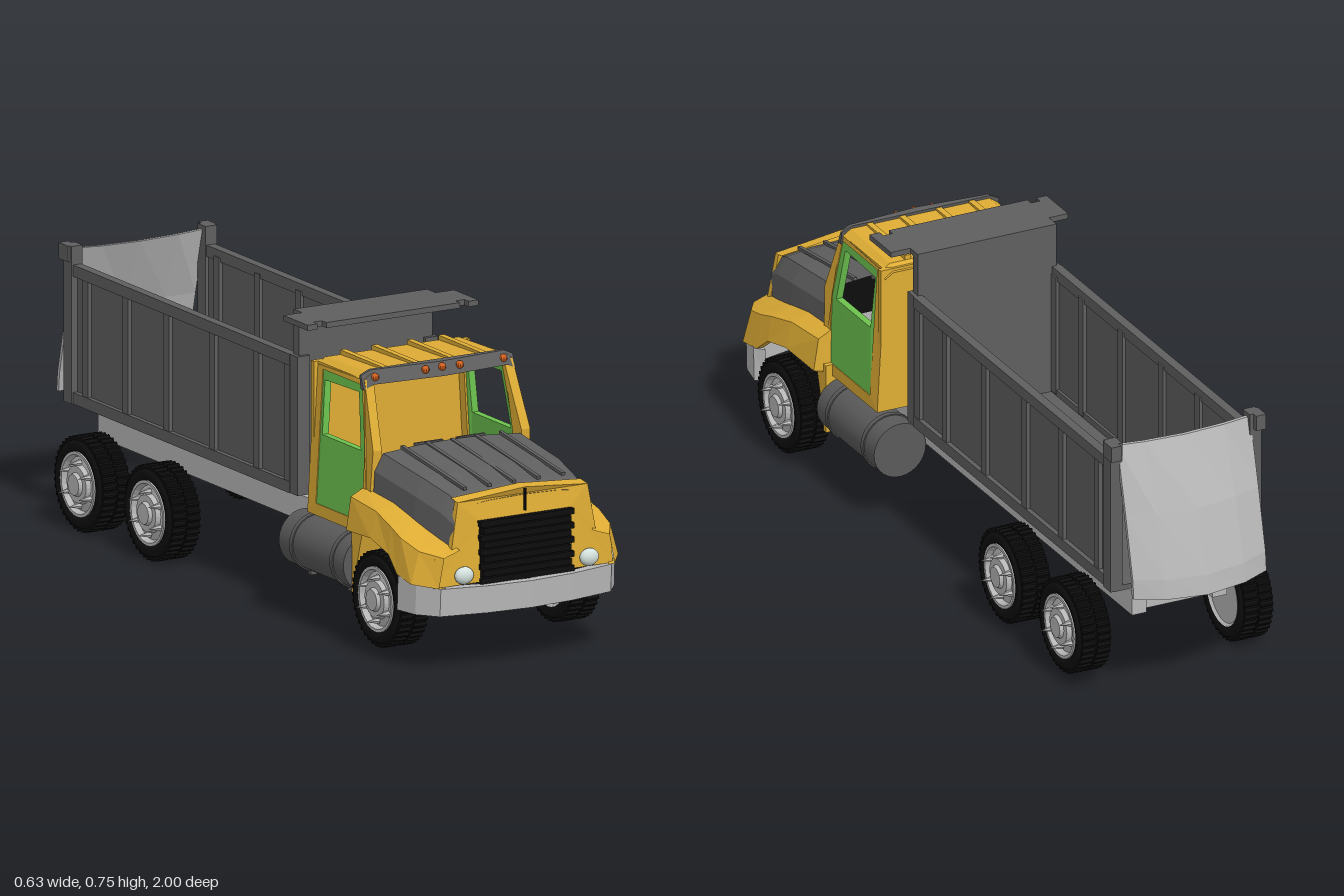
import * as THREE from 'three';

const mat = (color, flatShading = true) =>
  new THREE.MeshStandardMaterial({ color, flatShading, side: THREE.DoubleSide });
const YELLOW = mat(0xdfad35), GREY = mat(0x5f5f5f), LIGHT = mat(0xb8b8b8), BLACK = mat(0x0d0d0d);
const GREEN = mat(0x6cc24f), ORANGE = mat(0xd2601e), LAMP = mat(0xd4e2de, false);
const TANK = mat(0x5a5a5a, false);

function add(parent, name, geometry, material, x = 0, y = 0, z = 0) {
  const mesh = new THREE.Mesh(geometry, material);
  mesh.name = name;
  mesh.position.set(x, y, z);
  parent.add(mesh);
  return mesh;
}

// Box given by its extents
function box(parent, name, material, x0, x1, y0, y1, z0, z1) {
  return add(parent, name, new THREE.BoxGeometry(x1 - x0, y1 - y0, z1 - z0), material,
    (x0 + x1) / 2, (y0 + y1) / 2, (z0 + z1) / 2);
}

// Skin through cross-sections that all have the same number of points
function loft(sections, closed = false) {
  const n = sections[0].length, index = [];
  for (let i = 0; i < sections.length - 1; i++)
    for (let j = 0; j < (closed ? n : n - 1); j++) {
      const a = i * n + j, b = i * n + (j + 1) % n;
      index.push(a, b, a + n, b, b + n, a + n);
    }
  if (closed)
    for (const base of [0, (sections.length - 1) * n])
      for (let j = 0; j < n / 2 - 1; j++) {
        const a = base + j, b = base + n - 1 - j;
        index.push(a, a + 1, b, a + 1, b - 1, b);
      }
  const g = new THREE.BufferGeometry();
  g.setAttribute('position', new THREE.Float32BufferAttribute(sections.flat(2), 3));
  g.setIndex(index);
  g.computeVertexNormals();
  return g;
}

function shapeOf(points, hole) {
  const shape = new THREE.Shape(points.map(p => new THREE.Vector2(...p)));
  if (hole) shape.holes.push(new THREE.Path(hole.map(p => new THREE.Vector2(...p))));
  return shape;
}

// Move every vertex by a rule
function warp(g, rule) {
  const p = g.attributes.position;
  for (let i = 0; i < p.count; i++) p.setXYZ(i, ...rule(p.getX(i), p.getY(i), p.getZ(i)));
  g.computeVertexNormals();
  return g;
}

// Half width of the cab, leaning inwards above the doors
const cabHalf = y => 0.232 - Math.max(0, y - 0.38) * 0.08;

// Panel outlined in (z, y) and laid on the leaning cab side
function sidePanel(points, hole, thick, out, s) {
  const g = new THREE.ExtrudeGeometry(shapeOf(points, hole), { depth: thick, bevelEnabled: false });
  return warp(g, (x, y, z) => [s * (cabHalf(y) + out - z), y, x]);
}

function toothedRing(r, inner, teeth, width) {
  const pts = [];
  for (let i = 0; i < teeth * 4; i++) {
    const a = i / (teeth * 4) * Math.PI * 2, q = i % 4 < 2 ? r : r - 0.006;
    pts.push(new THREE.Vector2(Math.cos(a) * q, Math.sin(a) * q));
  }
  const shape = new THREE.Shape(pts);
  shape.holes.push(new THREE.Path().absarc(0, 0, inner, 0, Math.PI * 2, true));
  return new THREE.ExtrudeGeometry(shape, { depth: width, bevelEnabled: false, curveSegments: 24 })
    .rotateY(Math.PI / 2);
}

const lathe = (pts, n) => new THREE.LatheGeometry(pts.map(p => new THREE.Vector2(...p)), n)
  .rotateZ(-Math.PI / 2);

// Wheel with its outer face on local +x
function makeWheel() {
  const w = new THREE.Group();
  add(w, 'tyre', lathe([[0.08, -0.04], [0.095, -0.045], [0.108, -0.042], [0.113, -0.03], [0.113, 0.03],
    [0.108, 0.042], [0.095, 0.045], [0.08, 0.04], [0.08, -0.04]], 40), mat(0x0d0d0d, false));
  [-0.038, 0.003].forEach((x, i) => {
    const tread = add(w, 'tread', toothedRing(0.12, 0.105, 40, 0.035), BLACK, x);
    tread.rotation.x = i * Math.PI / 40;
  });
  add(w, 'rim', lathe([[0, -0.036], [0.075, -0.036], [0.082, -0.042], [0.082, 0.044], [0.074, 0.044],
    [0.068, 0.03], [0.05, 0.034], [0.046, 0.046], [0.03, 0.046], [0.026, 0.055], [0, 0.055]], 28), LIGHT);
  for (let i = 0; i < 6; i++) {
    const a = i / 6 * Math.PI * 2;
    add(w, 'wheelNut', new THREE.ConeGeometry(0.009, 0.035, 6).rotateZ(-Math.PI / 2), LIGHT,
      0.052, Math.cos(a) * 0.054, Math.sin(a) * 0.054);
  }
  return w;
}

function buildCab(cab) {
  const door = [[0.355, 0.3], [0.355, 0.635], [0.54, 0.635], [0.572, 0.48], [0.572, 0.3]];
  const glass = [[0.37, 0.475], [0.365, 0.61], [0.525, 0.615], [0.552, 0.475]];
  for (const s of [-1, 1]) {
    add(cab, 'cabSide', sidePanel([[0.315, 0.27], [0.315, 0.65], [0.55, 0.65], [0.612, 0.485],
      [0.6, 0.285], [0.57, 0.27]], door, 0.025, 0, s), YELLOW);
    add(cab, 'door', sidePanel(door, glass, 0.018, -0.002, s), GREEN);
    // Fender, skinned from front to back
    add(cab, 'fender', loft([
      [0.968, 0.19, 0.31, 0.235, 0.295, 0.25, 0.22], [0.91, 0.2, 0.325, 0.272, 0.305, 0.295, 0.225],
      [0.84, 0.203, 0.345, 0.282, 0.325, 0.293, 0.235], [0.79, 0.208, 0.36, 0.278, 0.34, 0.288, 0.275],
      [0.7, 0.215, 0.378, 0.268, 0.36, 0.285, 0.295], [0.57, 0.222, 0.388, 0.262, 0.368, 0.275, 0.285],
      [0.565, 0.2, 0.28, 0.24, 0.28, 0.26, 0.28]
    ].map(([z, ...p]) => [[s * p[0], p[1], z], [s * p[2], p[3], z], [s * p[4], p[5], z],
      [s * (p[4] - 0.02), p[5], z]])), YELLOW);
    add(cab, 'fenderFlange', loft([[0.3, 0.61], [0.2, 0.58], [0.12, 0.565]].map(([y, z]) =>
      [[s * 0.19, y, 0.553], [s * 0.25, y, 0.553], [s * 0.25, y, z], [s * 0.19, y, z]]), true), YELLOW);
    add(cab, 'headlight', new THREE.SphereGeometry(0.026, 16, 10).scale(1, 0.85, 0.6), LAMP,
      s * 0.178, 0.245, 0.967);
    box(cab, 'wiper', GREY, s * 0.06 - 0.04, s * 0.06 + 0.04, 0.482, 0.488, 0.598, 0.606);
  }
  box(cab, 'cabBack', YELLOW, -0.222, 0.222, 0.27, 0.65, 0.315, 0.33);

  // Roof with lengthwise ribs, visor and marker lamps
  add(cab, 'roof', loft([[0.312, 0.64], [0.33, 0.658], [0.55, 0.665]].map(([z, y]) =>
    [[-0.212, y - 0.015, z], [-0.19, y, z], [0.19, y, z], [0.212, y - 0.015, z]])), YELLOW);
  for (const x of [-0.14, -0.05, 0.05, 0.14])
    box(cab, 'roofRib', YELLOW, x - 0.008, x + 0.008, 0.655, 0.67, 0.33, 0.545);
  add(cab, 'visor', loft([-0.216, -0.19, 0, 0.19, 0.216].map(x => {
    const e = Math.abs(x) > 0.2 ? 0.012 : 0, z = 0.575 - x * x * 0.4;
    return [[x, 0.638 - e, z], [x, 0.672 - e, z - 0.015], [x, 0.672 - e, 0.535], [x, 0.638 - e, 0.54]];
  }), true), GREY);
  for (const x of [-0.183, -0.047, 0, 0.051, 0.182])
    add(cab, 'markerLamp', new THREE.SphereGeometry(0.01, 10, 8), ORANGE, x,
      0.66 - Math.abs(x) * 0.03, 0.567 - x * x * 0.4);

  // Hood: faceted shell with a ribbed top
  add(cab, 'hood', loft([[0.612, 0.215, 0.485, 0.37], [0.8, 0.212, 0.462, 0.335], [0.9, 0.2, 0.441, 0.31],
    [0.95, 0.192, 0.42, 0.29]].map(([z, w, y, low]) => {
    const half = [[w + 0.008, low], [w + 0.004, y - 0.05], [w - 0.02, y - 0.008], [0.1, y], [0.02, y + 0.002]];
    return [...half.map(([x, h]) => [-x, h, z]), ...half.reverse().map(([x, h]) => [x, h, z])];
  })), GREY);
  for (const x of [-0.14, -0.07, 0, 0.07, 0.14]) {
    const rib = box(cab, 'hoodRib', GREY, x - 0.005, x + 0.005, -0.004, 0.004, -0.15, 0.15);
    rib.position.set(x, 0.466, 0.76);
    rib.rotation.x = 0.135;
  }

  // Front surround bent backwards towards its sides, with an opening for the grille
  const half = [[0, 0.443], [0.185, 0.425], [0.205, 0.31], [0.25, 0.29], [0.255, 0.218]];
  const outline = [...half, ...half.slice(1).reverse().map(([x, y]) => [-x, y])];
  const hole = [[-0.13, 0.222], [-0.13, 0.375], [0.13, 0.375], [0.13, 0.222]];
  const bend = (x, y, z) => [x, y, z + 0.955 - x * x * 0.3 - (y - 0.22) * 0.06];
  add(cab, 'frontSurround', warp(new THREE.ExtrudeGeometry(shapeOf(outline, hole),
    { depth: 0.016, bevelEnabled: false }), bend), YELLOW);
  add(cab, 'surroundTop', loft([[0.958, 0.443, 0.425], [0.925, 0.446, 0.43]].map(([z, c, e]) =>
    [[-0.185, e, z - 0.01], [0, c, z], [0.185, e, z - 0.01]])), YELLOW);
  box(cab, 'surroundSeam', BLACK, -0.002, 0.002, 0.385, 0.44, 0.955, 0.964);
  box(cab, 'grilleBack', BLACK, -0.133, 0.133, 0.217, 0.378, 0.935, 0.955);
  for (let i = 0; i < 9; i++) {
    const w = i % 2 ? 0.125 : 0.133, y = 0.217 + i * 0.0179;
    box(cab, 'grilleSlat', BLACK, -w, w, y, y + 0.0145, 0.95, 0.972);
  }

  // Bumper swept around the nose
  add(cab, 'bumper', loft([[-0.296, 0.85, 0.234], [-0.283, 0.915, 0.234], [-0.243, 0.965, 0.218],
    [-0.12, 0.99, 0.217], [0, 1, 0.217], [0.12, 0.99, 0.217], [0.243, 0.965, 0.218], [0.283, 0.915, 0.234],
    [0.296, 0.85, 0.234]].map(([x, z, top]) => {
    const k = 0.93;
    return [[x, 0.148, z - 0.004], [x, top, z], [x * k, top, z - 0.025], [x * k, 0.148, z - 0.025]];
  }), true), LIGHT);
}

function buildBed(bed) {
  box(bed, 'bedFloor', GREY, -0.195, 0.195, 0.282, 0.296, -0.88, 0.21);
  for (const s of [-1, 1]) {
    const side = (name, a, b, ...r) => box(bed, name, GREY, Math.min(s * a, s * b), Math.max(s * a, s * b), ...r);
    side('bedWall', 0.183, 0.19, 0.283, 0.63, -0.88, 0.2);
    side('topRail', 0.178, 0.202, 0.604, 0.633, -0.88, 0.18);
    side('bottomRail', 0.176, 0.202, 0.283, 0.312, -0.88, 0.18);
    for (const z of [0.165, 0.02, -0.19, -0.405, -0.6, -0.79])
      side('wallRib', 0.174, 0.2, 0.3, 0.615, z - 0.013, z + 0.013);
    side('frontPost', 0.165, 0.2, 0.283, 0.633, 0.18, 0.215);
    side('rearPost', 0.175, 0.207, 0.283, 0.68, -0.88, -0.843);
    side('tailgateHinge', 0.185, 0.212, 0.64, 0.68, -0.895, -0.85);
  }
  box(bed, 'headboard', GREY, -0.19, 0.19, 0.283, 0.745, 0.18, 0.205);
  // Cab guard with notched corners
  const half = [[0.19, 0.18], [0.19, 0.22], [0.243, 0.22], [0.243, 0.335], [0.215, 0.335], [0.215, 0.315],
    [0.19, 0.315], [0.19, 0.335]];
  const guard = new THREE.ExtrudeGeometry(shapeOf([...half, ...half.slice().reverse().map(([x, z]) => [-x, z])]),
    { depth: 0.014, bevelEnabled: false });
  add(bed, 'cabGuard', guard.rotateX(Math.PI / 2), GREY, 0, 0.745, 0);
  // Swung-open tailgate, bulging more towards its lower edge
  add(bed, 'tailgate', loft([[0.67, -0.868, 0.004], [0.5, -0.912, 0.03], [0.34, -0.95, 0.04],
    [0.29, -0.955, 0.043]].map(([y, z, bulge]) => {
    const xs = [-1, -0.6, 0, 0.6, 1];
    const row = t => xs.map(u => [u * 0.182, y - (1 - u * u) * 0.008, z - bulge * (1 - u * u) + t]);
    return [...row(0), ...row(0.01).reverse()];
  }), true), LIGHT);
}

function buildChassis(chassis) {
  for (const s of [-1, 1]) {
    box(chassis, 'rail', LIGHT, s * 0.11 - 0.02, s * 0.11 + 0.02, 0.19, 0.255, -0.845, 0.55);
    box(chassis, 'railFlange', LIGHT, s * 0.08 - 0.012, s * 0.08 + 0.012, 0.215, 0.25, -0.84, 0.54);
    box(chassis, 'bedMount', GREY, s * 0.11 - 0.015, s * 0.11 + 0.015, 0.25, 0.285, -0.83, -0.76);
    // Fuel tank with straps
    const tank = (r, len, z) => add(chassis, 'fuelTank',
      new THREE.CylinderGeometry(r, r, len, 28).rotateX(Math.PI / 2), TANK, s * 0.203, 0.19, z);
    tank(0.071, 0.305, 0.4025);
    for (const z of [0.31, 0.5]) tank(0.074, 0.014, z).name = 'tankStrap';
    for (const z of [0.31, 0.5])
      box(chassis, 'tankBracket', GREY, s * 0.203 - 0.02, s * 0.203 + 0.02, 0.11, 0.125, z - 0.008, z + 0.008);
  }
  for (const z of [0.52, 0.24, 0.14, -0.18, -0.28, -0.56, -0.82])
    box(chassis, 'crossMember', LIGHT, -0.11, 0.11, 0.2, 0.245, z - 0.022, z + 0.022);
  box(chassis, 'bellyPlate', GREY, -0.1, 0.1, 0.225, 0.24, 0.24, 0.52);
}

export function createModel() {
  const model = new THREE.Group();
  model.name = 'dumpTruck';
  for (const [name, build] of [['cab', buildCab], ['bed', buildBed], ['chassis', buildChassis]]) {
    const g = new THREE.Group();
    g.name = name;
    g.position.x = -0.015;
    build(g);
    model.add(g);
  }
  const wheels = [['frontLeftWheel', 0.245, 0.14, 0.705], ['frontRightWheel', -0.245, 0.14, 0.705],
    ['middleLeftWheel', 0.21, 0.14, -0.405], ['middleRightWheel', -0.245, 0.12, -0.375],
    ['rearLeftWheel', 0.21, 0.14, -0.725], ['rearRightWheel', -0.245, 0.12, -0.705]];
  for (const [name, x, y, z] of wheels) {
    const w = makeWheel();
    w.name = name;
    w.position.set(x, y, z);
    if (x < 0) w.rotation.y = Math.PI;
    model.add(w);
  }
  return model;
}
